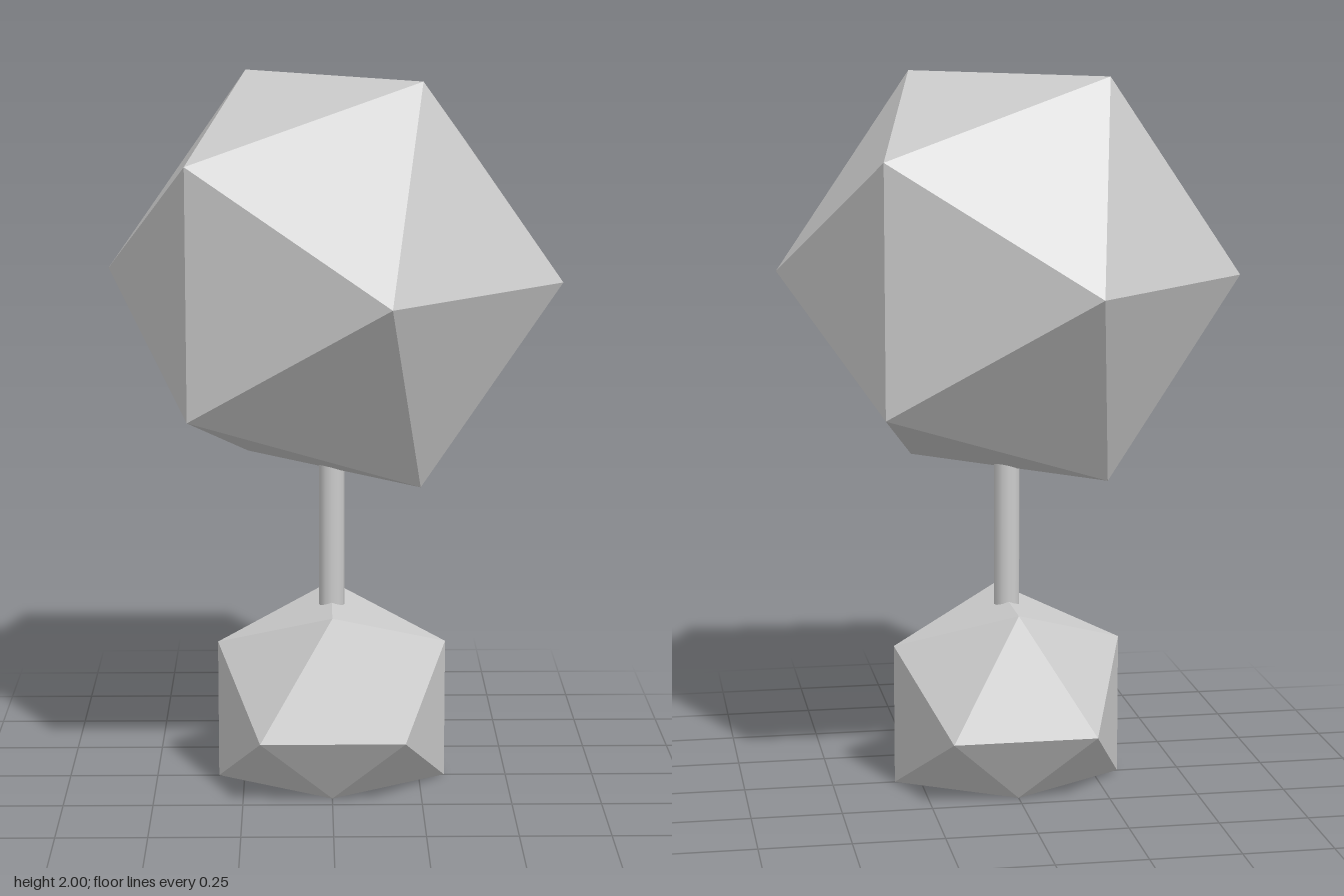
import * as THREE from 'three';

const material = new THREE.MeshStandardMaterial({ color: 0xcccccc, flatShading: true });
const stemMaterial = new THREE.MeshStandardMaterial({ color: 0xcccccc });

function addPart(group, name, geometry, mat) {
  const mesh = new THREE.Mesh(geometry, mat);
  mesh.name = name;
  group.add(mesh);
}

export function createModel() {
  const group = new THREE.Group();
  group.name = 'lowPolyTree';

  // Base: icosahedron with its lowest corners pushed up onto the ground
  const base = new THREE.IcosahedronGeometry(0.38, 0);
  base.rotateY(Math.PI / 2).translate(0, 0.2, 0);
  const p = base.attributes.position;
  for (let i = 0; i < p.count; i++) p.setY(i, Math.max(0, p.getY(i)));
  base.computeVertexNormals();
  addPart(group, 'base', base, material);

  // Stem: thin rod sunk into both solids
  const stem = new THREE.CylinderGeometry(0.036, 0.036, 0.5, 12);
  stem.translate(0, 0.72, 0);
  addPart(group, 'stem', stem, stemMaterial);

  // Crown: large icosahedron with its top edge on the diagonal
  const crown = new THREE.IcosahedronGeometry(0.644, 0);
  crown.rotateY(-Math.PI / 4).translate(0, 1.452, 0);
  addPart(group, 'crown', crown, material);

  return group;
}
